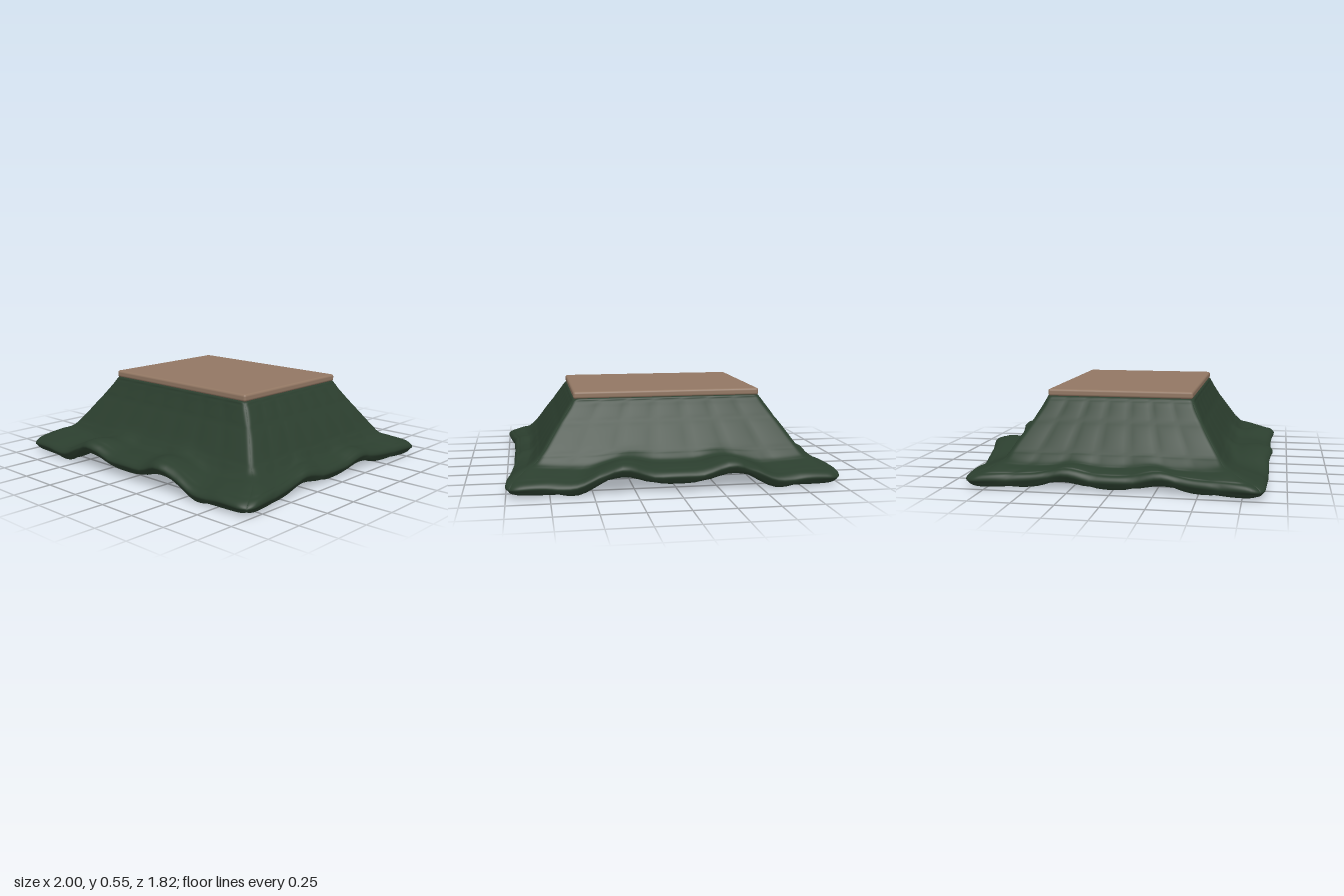
import * as THREE from 'three';
import { RoundedBoxGeometry } from 'three/addons/geometries/RoundedBoxGeometry.js';

const { smoothstep, clamp } = THREE.MathUtils;
const bell = (x, centre, width) => Math.exp(-(((x - centre) / width) ** 2));

// Quilt cross-section: (half width, height, half depth), from under the board, over the hem, back up inside
const section = new THREE.CatmullRomCurve3([
  [0.56, 0.507, 0.44], [0.585, 0.5, 0.453], [0.62, 0.45, 0.475], [0.705, 0.33, 0.545],
  [0.795, 0.195, 0.635], [0.835, 0.138, 0.68], [0.89, 0.108, 0.77], [0.935, 0.083, 0.86],
  [0.95, 0.05, 0.888], [0.93, 0.022, 0.865], [0.87, 0.047, 0.77], [0.79, 0.1, 0.64],
  [0.735, 0.19, 0.585], [0.655, 0.33, 0.505], [0.58, 0.44, 0.438], [0.535, 0.49, 0.415], [0.5, 0.506, 0.39],
].map(p => new THREE.Vector3(...p)));
const HEM = 0.5; // curve parameter where the outside turns into the inside

// Raised folds along the hem; s runs -1..1 along one side
const frontLift = s => 0.088 * bell(Math.abs(s), 0.33, 0.15) + 0.036 * bell(s, 0, 0.22)
  + 0.012 * bell(Math.abs(s), 0.48, 0.08) - 0.014 * bell(Math.abs(s), 0.62, 0.1);
const sideLift = s => 0.035 * bell(Math.abs(s), 0.33, 0.15);

// Point on one of the four sides (0 front, 1 left, 2 back, 3 right)
function quiltPoint(side, s, t) {
  const p = section.getPoint(t);
  const onLongSide = side % 2 === 0;
  const inside = t > HEM;
  const m = Math.abs(s);
  let a = p.x, b = p.z, y = p.y;
  const skirt = smoothstep(a, 0.76, 0.93);

  // wavy hem, flared corners and small outward folds
  y += skirt * (onLongSide ? frontLift(s) : sideLift(s));
  a += skirt * 0.05 * (onLongSide ? 1 : smoothstep(m, 0.35, 0.95));
  if (onLongSide) b += skirt * (0.02 * bell(m, 0.32, 0.07) - 0.012 * bell(m, 1, 0.2));
  else b -= skirt * 0.012;

  // gathered cloth at the foot of each corner, thinning towards the tip
  if (!inside) y += bell(m, 1, 0.14) * (0.012 * bell(p.x, 0.855, 0.03) - 0.008 * bell(p.x, 0.94, 0.03));

  // stitched padding
  const cell = Math.sqrt(Math.abs(Math.cos(Math.PI * 3.5 * s)) * Math.abs(Math.sin(Math.PI * 12 * t)));
  const puff = cell * (inside ? -0.014 : 0.005);
  if (onLongSide) b += puff; else a += puff;
  y += puff * skirt;

  // rounded rectangle outline
  const turn = side < 2 ? 1 : -1;
  const x = turn * a * (onLongSide ? s : 1);
  const z = turn * b * (onLongSide ? 1 : -s);
  const r = 0.03 + 0.05 * skirt;
  const cx = clamp(x, r - a, a - r), cz = clamp(z, r - b, b - r);
  const k = r / (Math.hypot(x - cx, z - cz) || 1);
  return [cx + (x - cx) * k, y, cz + (z - cz) * k - 0.02 * (1 - skirt)];
}

function quiltGeometry() {
  const N = 64, ROWS = 120, around = N * 4;
  const positions = [], index = [];
  for (let j = 0; j <= ROWS; j++) {
    for (let side = 0; side < 4; side++) {
      for (let i = 0; i < N; i++) {
        const s = Math.sin((i / N - 0.5) * Math.PI); // closer spacing at the corners
        positions.push(...quiltPoint(side, s, j / ROWS));
      }
    }
  }
  for (let j = 0; j < ROWS; j++) {
    for (let i = 0; i < around; i++) {
      const A = j * around + i, B = j * around + (i + 1) % around;
      const C = A + around, D = B + around;
      index.push(A, C, B, B, C, D);
    }
  }
  const g = new THREE.BufferGeometry();
  g.setAttribute('position', new THREE.Float32BufferAttribute(positions, 3));
  g.setIndex(index);
  g.computeVertexNormals();
  return g;
}

export function createModel() {
  const group = new THREE.Group();
  group.name = 'heatedTable';

  const cloth = new THREE.MeshStandardMaterial({ color: 0x2b3e2e, side: THREE.DoubleSide });
  cloth.name = 'dark green cloth';
  const wood = new THREE.MeshStandardMaterial({ color: 0x927763 });
  wood.name = 'light brown wood';

  // Padded blanket draped below the board
  const quilt = new THREE.Mesh(quiltGeometry(), cloth);
  quilt.name = 'quilt';
  group.add(quilt);

  // Table board
  const board = new THREE.Mesh(new RoundedBoxGeometry(1.17, 0.045, 0.9, 4, 0.015), wood);
  board.name = 'tableTop';
  board.position.set(0, 0.5245, -0.02);
  group.add(board);

  return group;
}
